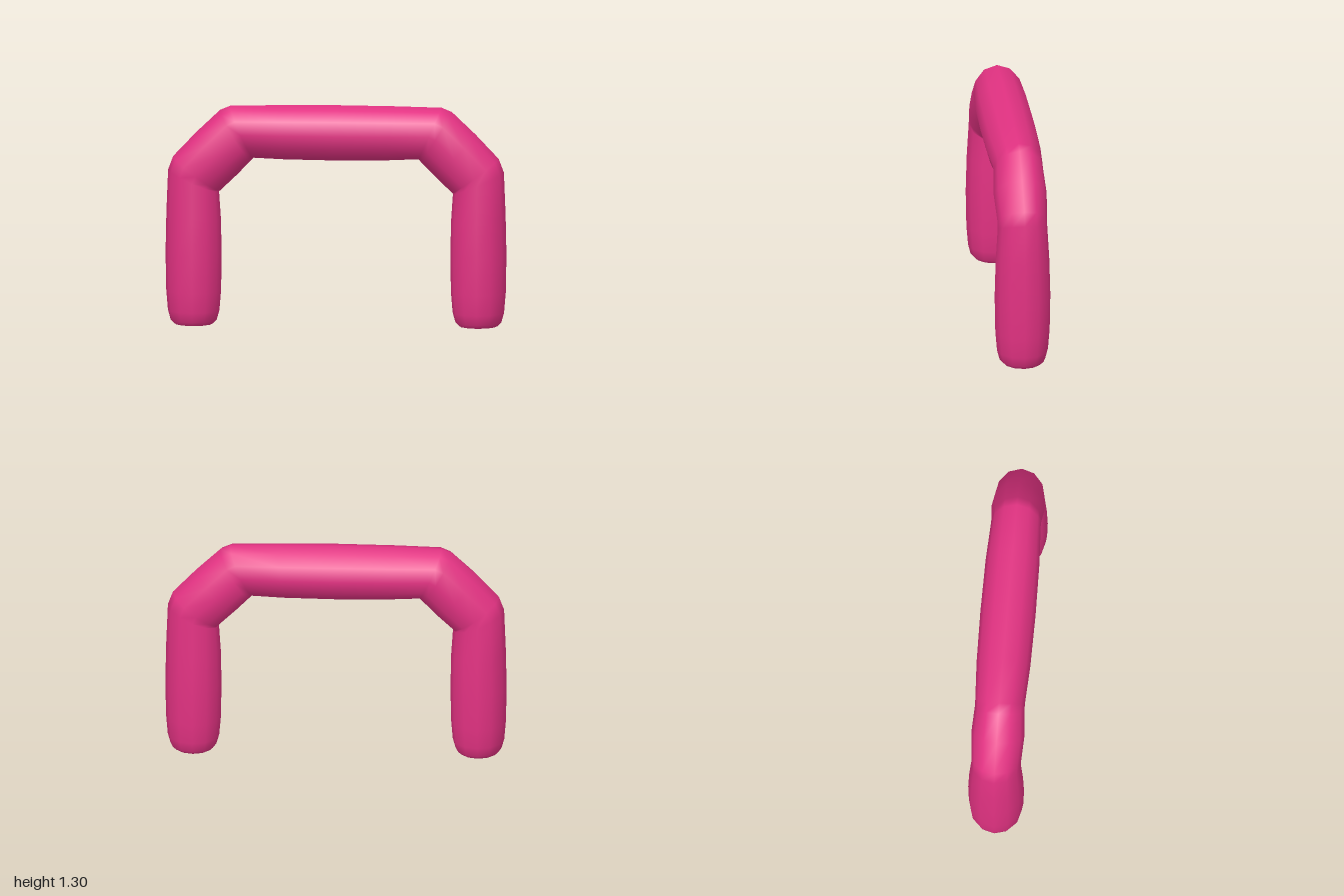
import * as THREE from 'three';

const SIDES = 12;

// Cross-sections of one half: inner x, y, outer x, y, half depth in z
const HALF = [
  [0.722, 0, 0.948, 0, 0.113],
  [0.7, 0.022, 0.97, 0.022, 0.135],
  [0.684, 0.08, 0.986, 0.08, 0.15],
  [0.674, 0.2, 0.996, 0.2, 0.16],
  [0.671, 0.42, 1.0, 0.42, 0.164],
  [0.675, 0.62, 0.995, 0.66, 0.158],
  [0.686, 0.783, 0.985, 0.91, 0.146], // lower bend
  [0.68, 0.788, 0.955, 0.99, 0.146],
  [0.587, 0.877, 0.818, 1.135, 0.156], // diagonal
  [0.5, 0.966, 0.68, 1.266, 0.146], // upper bend
  [0.484, 0.984, 0.62, 1.291, 0.146],
  [0.3, 0.976, 0.34, 1.297, 0.158],
  [0, 0.972, 0, 1.3, 0.162],
];

// Joins elliptical cross-sections into one smooth tube
function loft(sections) {
  const positions = [], index = [];
  sections.forEach(([ix, iy, ox, oy, depth], i) => {
    for (let j = 0; j < SIDES; j++) {
      const a = (j / SIDES) * Math.PI * 2;
      const t = (1 + Math.cos(a)) / 2;
      positions.push(ix + (ox - ix) * t, iy + (oy - iy) * t, Math.sin(a) * depth);
      if (i === sections.length - 1) continue;
      const p = i * SIDES + j, q = i * SIDES + (j + 1) % SIDES;
      index.push(p, p + SIDES, q, q, p + SIDES, q + SIDES);
    }
  });
  const geometry = new THREE.BufferGeometry();
  geometry.setAttribute('position', new THREE.Float32BufferAttribute(positions, 3));
  geometry.setIndex(index);
  geometry.computeVertexNormals();
  return geometry;
}

export function createModel() {
  const group = new THREE.Group();
  group.name = 'archHandle';
  const pink = new THREE.MeshStandardMaterial({ color: 0xe23282 });
  pink.name = 'pink';

  // Whole arch: one half followed by its mirror image
  const mirrored = HALF.slice(0, -1).reverse()
    .map(([ix, iy, ox, oy, depth]) => [-ix, iy, -ox, oy, depth]);
  const arch = new THREE.Mesh(loft([...HALF, ...mirrored]), pink);
  arch.name = 'arch';
  group.add(arch);

  // Flat soles under both legs
  for (const side of [1, -1]) {
    const sole = new THREE.Mesh(new THREE.CircleGeometry(0.113, SIDES).rotateX(Math.PI / 2), pink);
    sole.position.x = side * 0.835;
    sole.name = side > 0 ? 'leftSole' : 'rightSole';
    group.add(sole);
  }
  return group;
}
